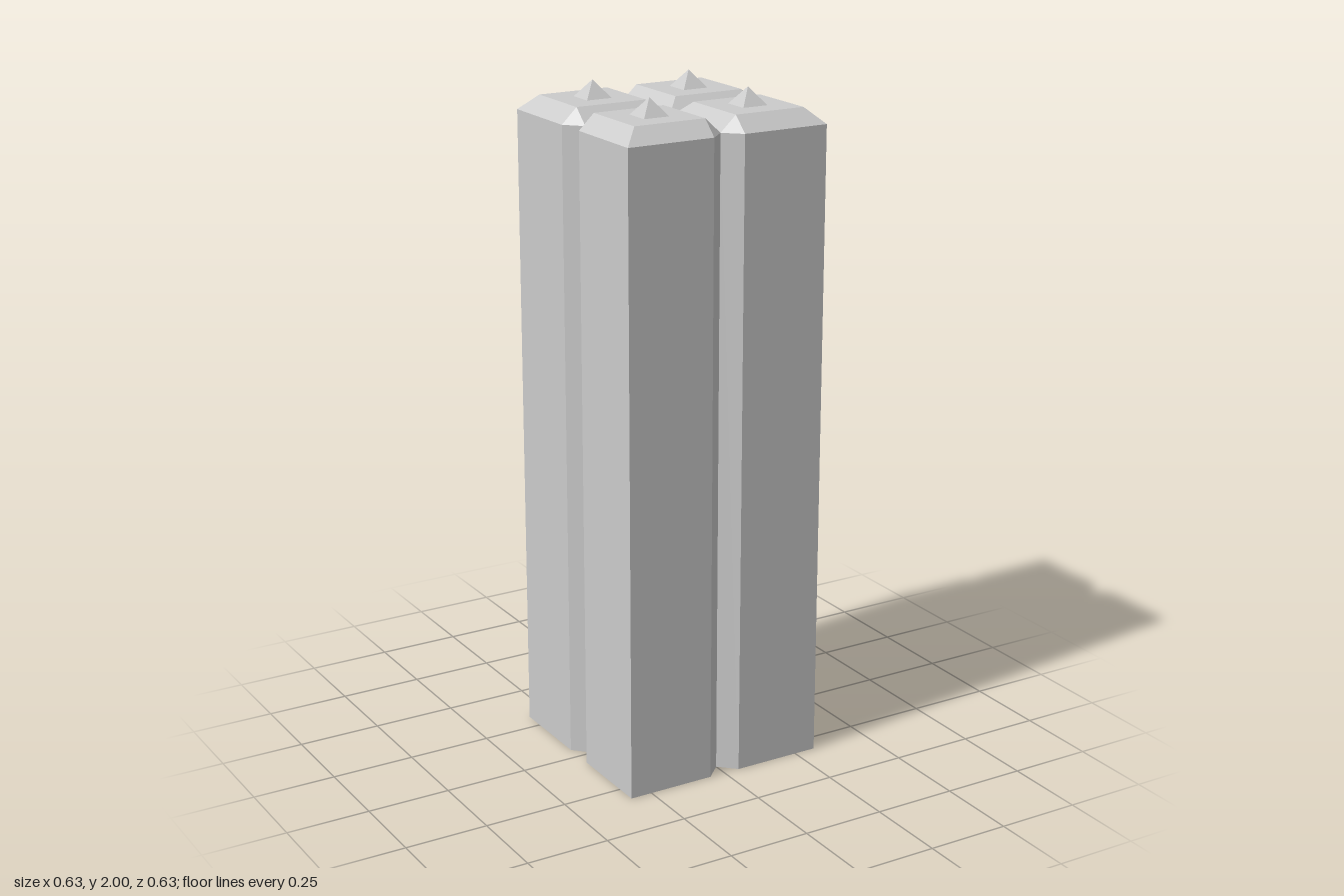
import * as THREE from 'three';
import { ConvexGeometry } from 'three/addons/geometries/ConvexGeometry.js';

const OUT = 0.317;     // outer face of the cluster
const IN = 0.27;       // outer edge of the flat top, depth of the grooves
const CUT = 0.049;     // half width of the grooves, inner edge of the flat top
const EAVE = 1.905;    // top of the walls
const DECK = 1.95;     // flat top
const TIP = 2;         // spike tip

// plan of one column in its quarter, with the groove corners cut off
const PLAN = [[0, 0], [IN, 0], [OUT, CUT], [OUT, OUT], [CUT, OUT], [0, IN]];
const TOP = [[CUT, CUT], [IN, CUT], [IN, IN], [CUT, IN]];

export function createModel() {
  const model = new THREE.Group();
  model.name = 'columnCluster';
  const material = new THREE.MeshStandardMaterial({ color: 0xcccccc, flatShading: true });

  // four-sided spike with sides parallel to the axes
  const spikeGeometry = new THREE.ConeGeometry(0.0395 * Math.SQRT2, TIP - DECK, 4, 1, true);
  spikeGeometry.rotateY(Math.PI / 4);

  for (const [sx, sz, place] of [
    [1, 1, 'FrontLeft'], [-1, 1, 'FrontRight'], [1, -1, 'BackLeft'], [-1, -1, 'BackRight'],
  ]) {
    const ring = (plan, y) => plan.map(([x, z]) => new THREE.Vector3(sx * x, y, sz * z));

    // column with a bevelled top
    const column = new THREE.Mesh(
      new ConvexGeometry([...ring(PLAN, 0), ...ring(PLAN, EAVE), ...ring(TOP, DECK)]), material);
    column.name = 'column' + place;

    // small pyramid on the flat top
    const spike = new THREE.Mesh(spikeGeometry, material);
    spike.name = 'spike' + place;
    spike.position.set(sx * OUT / 2, (DECK + TIP) / 2, sz * OUT / 2);

    model.add(column, spike);
  }
  return model;
}
